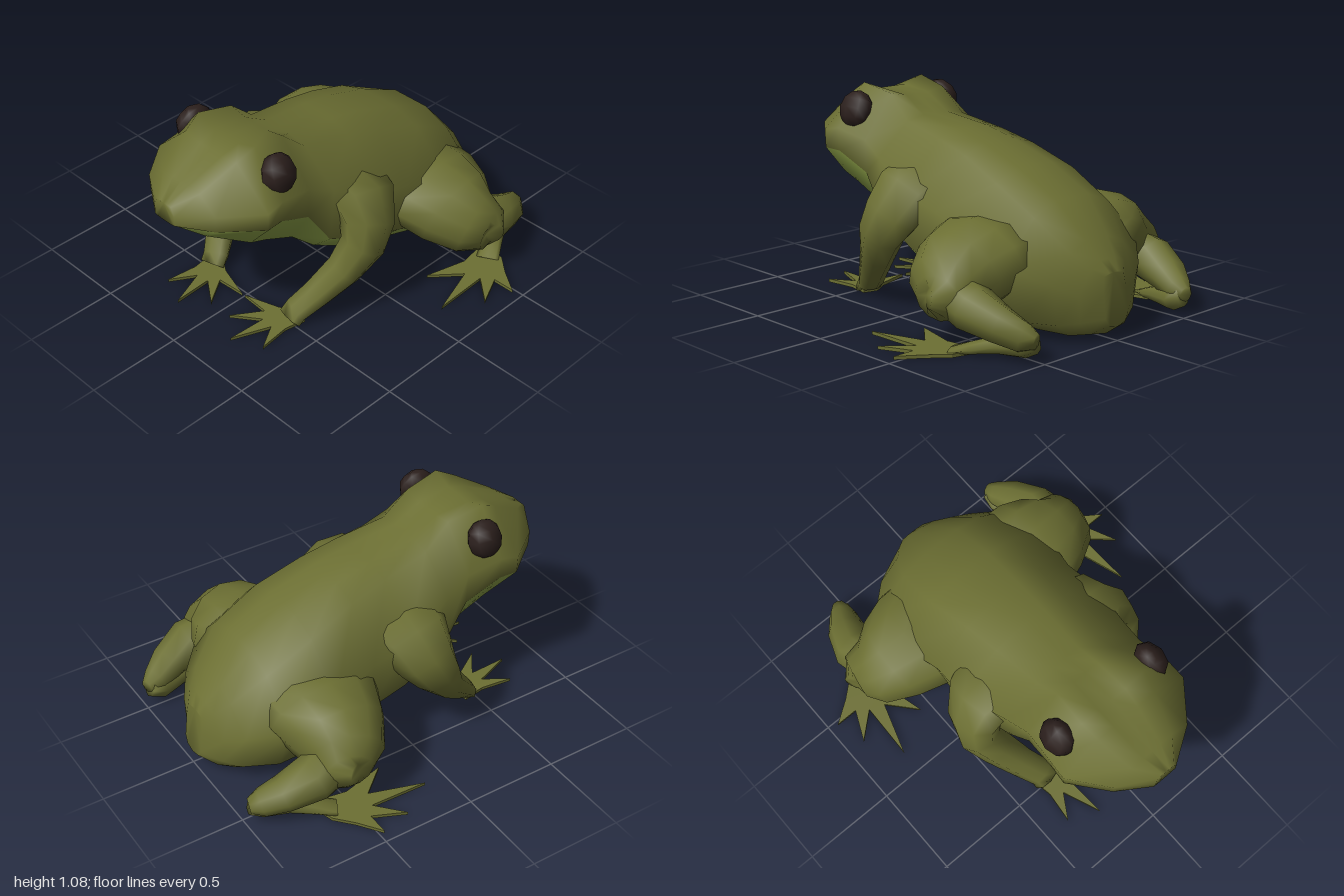
import * as THREE from 'three';

const skin = new THREE.MeshStandardMaterial({ color: 0x6c6f33 });
const pale = new THREE.MeshStandardMaterial({ color: 0x8a9e46 });
const dark = new THREE.MeshStandardMaterial({ color: 0x2b1f1c });

function mesh(name, geometry, material) {
  const m = new THREE.Mesh(geometry, material);
  m.name = name;
  return m;
}

// Joins closed rings of points; isPale(i, j) sorts faces into a second index list
function loft(rings, isPale = () => false) {
  const n = rings[0].length, main = [], second = [];
  for (let i = 0; i < rings.length - 1; i++) {
    for (let j = 0; j < n; j++) {
      const k = (j + 1) % n;
      const a = i * n + j, b = i * n + k, c = b + n, d = a + n;
      (isPale(i, j) ? second : main).push(a, b, d, b, c, d);
    }
  }
  const last = (rings.length - 1) * n;
  for (let j = 1; j < n - 1; j++) {
    main.push(0, j + 1, j, last, last + j, last + j + 1);
  }
  const g = new THREE.BufferGeometry().setFromPoints(rings.flat());
  g.setIndex([...main, ...second]);
  g.computeVertexNormals();
  const g2 = g.clone();
  g.setIndex(main);
  g2.setIndex(second);
  return [g, g2];
}

// Limb through stations [x, y, z, r1, r2], elliptical across its direction, kept above the floor
function limb(stations, s, ref, sides = 8) {
  const pts = stations.map(([x, y, z]) => new THREE.Vector3(x * s, y, z));
  const rings = stations.map(([, , , r1, r2 = r1], i) => {
    const t = pts[Math.min(i + 1, pts.length - 1)].clone().sub(pts[Math.max(i - 1, 0)]).normalize();
    const u = t.clone().cross(ref).normalize();
    const v = t.clone().cross(u);
    return Array.from({ length: sides }, (_, j) => {
      const a = (j / sides) * Math.PI * 2;
      const p = pts[i].clone().addScaledVector(u, Math.cos(a) * r1).addScaledVector(v, Math.sin(a) * r2);
      p.y = Math.max(p.y, 0.005);
      return p;
    });
  });
  return loft(rings)[0];
}

// Flat splayed foot from an [x, z] outline
function foot(outline, s) {
  const shape = new THREE.Shape(outline.map(([x, z]) => new THREE.Vector2(x * s, -z)));
  return new THREE.ExtrudeGeometry(shape, { depth: 0.017, bevelEnabled: false }).rotateX(-Math.PI / 2);
}

// Body sections: z, top y, then ridge, side and seam as x, y, then bottom y
const SECTIONS = [
  [1.0, 0.86, 0.05, 0.86, 0.07, 0.81, 0.07, 0.76, 0.755],
  [0.89, 0.93, 0.13, 0.92, 0.24, 0.84, 0.235, 0.755, 0.67],
  [0.7, 1.015, 0.18, 1.03, 0.39, 0.84, 0.385, 0.745, 0.555],
  [0.6, 1.04, 0.2, 1.08, 0.385, 0.86, 0.375, 0.74, 0.5],
  [0.41, 1.02, 0.18, 1.04, 0.365, 0.82, 0.355, 0.65, 0.4],
  [0.27, 0.935, 0.19, 0.915, 0.39, 0.75, 0.365, 0.44, 0.3],
  [0, 0.9, 0.22, 0.865, 0.45, 0.62, 0.42, 0.34, 0.15],
  [-0.2, 0.855, 0.24, 0.815, 0.44, 0.56, 0.4, 0.26, 0.09],
  [-0.45, 0.77, 0.27, 0.72, 0.49, 0.49, 0.37, 0.13, 0.04],
  [-0.7, 0.65, 0.26, 0.59, 0.47, 0.38, 0.35, 0.1, 0.02],
  [-0.86, 0.475, 0.18, 0.435, 0.31, 0.3, 0.27, 0.1, 0.01],
  [-0.93, 0.39, 0.12, 0.36, 0.2, 0.24, 0.19, 0.11, 0.02],
];

// Full ring from one section; a brow and a low point are interpolated between the given ones
function bodyRing([top, rx, ry, sx, sy, mx, my, bottom], zAt) {
  const half = [[0.42 * rx, top], [rx, ry], [sx, sy], [mx, my], [0.68 * mx, bottom + (my - bottom) * 0.25]];
  const mirrored = half.map(([x, y]) => [-x, y]).reverse();
  return [[0, top], ...half, [0, bottom], ...mirrored].map(([x, y]) => new THREE.Vector3(x, y, zAt(y)));
}

function buildBody(model) {
  const rings = SECTIONS.map(([z, ...section]) => bodyRing(section, () => z));
  // Slanted rump plate
  rings.push(bodyRing([0.33, 0.07, 0.32, 0.08, 0.24, 0.08, 0.12, 0.07], (y) => -0.968 - (0.33 - y) * 0.12));
  const [upper, under] = loft(rings, (i, j) => i < 9 && j >= 4 && j <= 7);
  model.add(mesh('body', upper, skin), mesh('belly', under, pale));
}

const ARM = [
  [0.27, 0.68, 0.05, 0.22, 0.08], [0.385, 0.61, 0.06, 0.2, 0.12], [0.455, 0.5, 0.1, 0.16, 0.12],
  [0.475, 0.4, 0.155, 0.125, 0.11], [0.43, 0.27, 0.24, 0.09, 0.095],
  [0.36, 0.14, 0.36, 0.07, 0.08], [0.305, 0.055, 0.445, 0.055, 0.075], [0.295, 0.015, 0.48, 0.05, 0.075],
];
const HAND = [
  [0.36, 0.44], [0.34, 0.56], [0.36, 0.73], [0.28, 0.6], [0.2, 0.8], [0.21, 0.59],
  [0.07, 0.69], [0.17, 0.54], [0.01, 0.53], [0.2, 0.47], [0.28, 0.42],
];
const THIGH = [
  [0.2, 0.42, -0.46, 0.3, 0.17], [0.4, 0.385, -0.46, 0.3, 0.2], [0.53, 0.335, -0.47, 0.25, 0.215],
  [0.65, 0.285, -0.49, 0.185, 0.175], [0.735, 0.26, -0.54, 0.125, 0.115], [0.772, 0.265, -0.52, 0.05, 0.05],
];
const SHANK = [
  [0.6, 0.27, -0.48, 0.12], [0.635, 0.22, -0.68, 0.125, 0.115], [0.6, 0.165, -0.82, 0.1, 0.09],
  [0.555, 0.12, -0.92, 0.07, 0.075], [0.535, 0.11, -0.98, 0.035, 0.04],
];
const ANKLE = [
  [0.53, 0.1, -0.965, 0.04, 0.05], [0.535, 0.075, -0.9, 0.055, 0.06], [0.58, 0.06, -0.78, 0.05, 0.045],
  [0.64, 0.035, -0.67, 0.055, 0.03], [0.69, 0.015, -0.58, 0.06, 0.012],
];
const HIND_FOOT = [
  [0.62, -0.67], [0.74, -0.64], [0.83, -0.56], [0.95, -0.475], [0.83, -0.475], [0.905, -0.31],
  [0.77, -0.43], [0.78, -0.12], [0.69, -0.4], [0.56, -0.25], [0.62, -0.48], [0.6, -0.6],
];

export function createModel() {
  const model = new THREE.Group();
  model.name = 'frog';
  buildBody(model);
  const X = new THREE.Vector3(1, 0, 0), Y = new THREE.Vector3(0, 1, 0);
  for (const [side, s] of [['left', 1], ['right', -1]]) {
    const front = new THREE.Group();
    front.name = `${side}FrontLeg`;
    front.add(mesh('arm', limb(ARM, s, X), skin), mesh('hand', foot(HAND, s), skin));

    const hind = new THREE.Group();
    hind.name = `${side}HindLeg`;
    hind.add(
      mesh('thigh', limb(THIGH, s, Y, 12), skin),
      mesh('shank', limb(SHANK, s, Y), skin),
      mesh('ankle', limb(ANKLE, s, Y), skin),
      mesh('hindFoot', foot(HIND_FOOT, s), skin),
    );

    // Bulging eye, tilted to lie against the head
    const eye = mesh(`${side}Eye`, new THREE.SphereGeometry(0.1, 8, 6), dark);
    eye.scale.set(0.72, 1, 1);
    eye.position.set(0.3 * s, 0.955, 0.55);
    eye.rotation.z = 0.35 * s;
    model.add(front, hind, eye);
  }
  return model;
}
